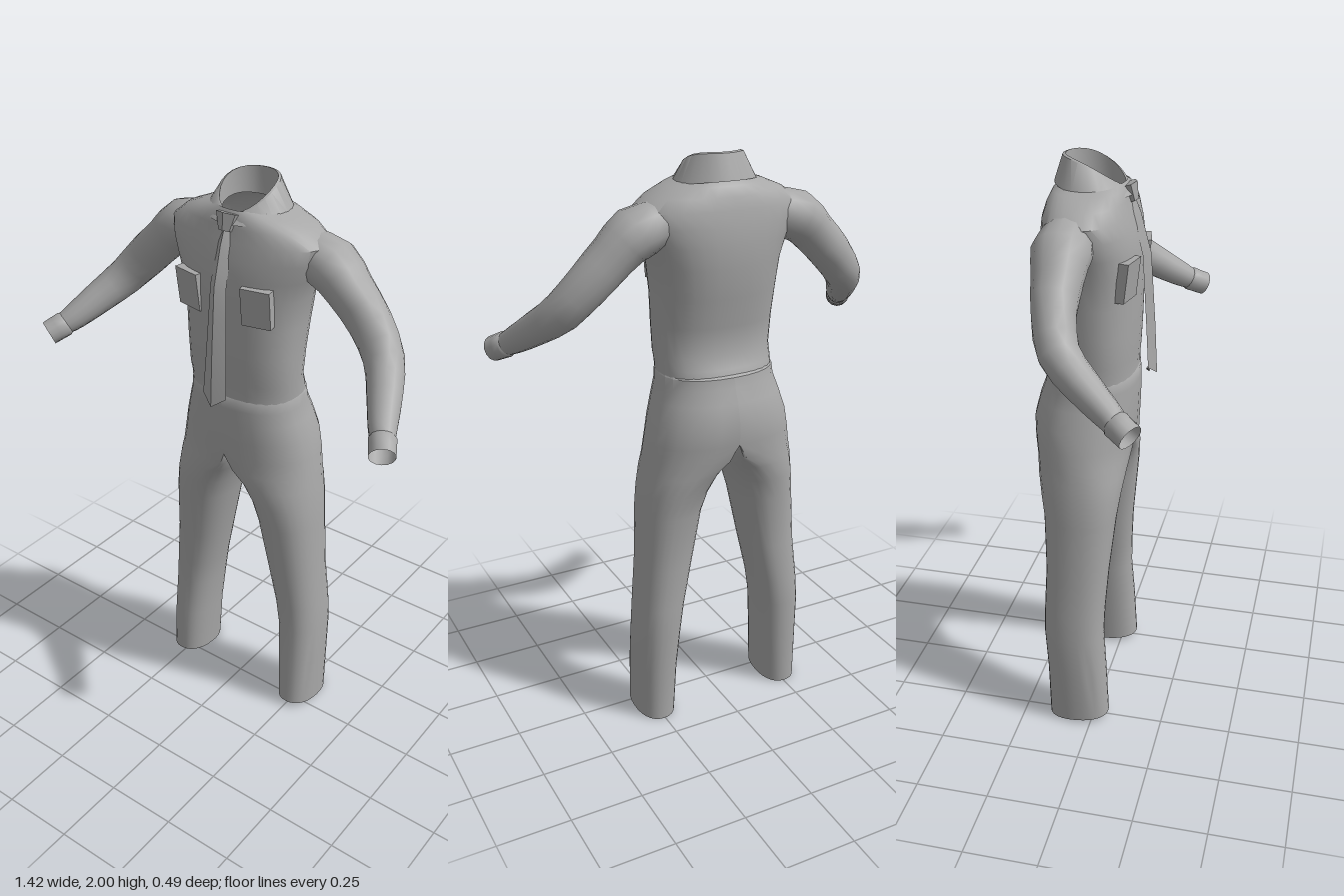
import * as THREE from 'three';
import { mergeVertices, toCreasedNormals } from 'three/addons/utils/BufferGeometryUtils.js';

const V = (x, y, z) => new THREE.Vector3(x, y, z);
const spow = (c, e) => Math.sign(c) * Math.pow(Math.abs(c), e);

// Skin a list of cross-sections (arrays of Vector3) into one surface.
function loft(rings, closed = true, crease = 0.7) {
  const n = rings[0].length, pos = [], idx = [];
  rings.forEach(r => r.forEach(p => pos.push(p.x, p.y, p.z)));
  for (let j = 0; j < rings.length - 1; j++) {
    for (let i = 0; i < (closed ? n : n - 1); i++) {
      const k = (i + 1) % n, a = j * n + i, b = j * n + k;
      idx.push(a, b + n, b, a, a + n, b + n);
    }
  }
  const g = new THREE.BufferGeometry();
  g.setAttribute('position', new THREE.Float32BufferAttribute(pos, 3));
  g.setIndex(idx);
  return toCreasedNormals(mergeVertices(g), crease);
}

// Linear lookup in rows whose first value falls from row to row.
function sample(rows, y) {
  let i = 0;
  while (i < rows.length - 2 && y < rows[i + 1][0]) i++;
  const a = rows[i], b = rows[i + 1], t = (a[0] - y) / (a[0] - b[0]);
  return a.map((v, k) => v + (b[k] - v) * t);
}

export function createModel() {
  const model = new THREE.Group();
  model.name = 'workSuit';
  const cloth = new THREE.MeshStandardMaterial({ color: 0xa8a8a8, side: THREE.DoubleSide });
  cloth.name = 'greyCloth';
  const add = (name, geo) => {
    const m = new THREE.Mesh(geo, cloth);
    m.name = name;
    model.add(m);
    return m;
  };

  // Shirt body: y, half width, front z, back z
  const body = [
    [1.275, 0.2, 0.098, -0.198], [1.31, 0.2, 0.097, -0.187], [1.35, 0.203, 0.1, -0.166],
    [1.45, 0.208, 0.105, -0.176], [1.55, 0.213, 0.108, -0.197], [1.65, 0.225, 0.11, -0.208],
    [1.72, 0.25, 0.106, -0.21], [1.78, 0.275, 0.096, -0.204], [1.83, 0.283, 0.082, -0.195],
    [1.87, 0.235, 0.072, -0.185], [1.9, 0.165, 0.066, -0.172], [1.92, 0.1, 0.055, -0.145],
  ];
  add('shirtBody', loft(body.map(([y, w, f, b]) => {
    const ring = [];
    for (let i = 0; i < 32; i++) {
      const t = i / 32 * Math.PI * 2, e = 2 / 2.35;
      ring.push(V(w * spow(Math.cos(t), e), y, (f + b) / 2 + (f - b) / 2 * spow(Math.sin(t), e)));
    }
    return ring;
  })));

  // Sleeves and cuffs: x, y, z, radius across, radius along depth
  const arm = [
    [0.19, 1.79, -0.08, 0.075, 0.08], [0.29, 1.765, -0.08, 0.085, 0.095],
    [0.36, 1.705, -0.075, 0.075, 0.08], [0.445, 1.62, -0.065, 0.072, 0.068],
    [0.52, 1.535, -0.03, 0.065, 0.064], [0.575, 1.47, 0.05, 0.056, 0.056],
    [0.62, 1.415, 0.13, 0.046, 0.046], [0.642, 1.392, 0.165, 0.039, 0.039],
  ];
  const cuff = [
    [0.638, 1.396, 0.158, 0.038, 0.038], [0.643, 1.391, 0.167, 0.044, 0.044],
    [0.672, 1.366, 0.215, 0.042, 0.042],
  ];
  const limb = (rows, side) => {
    const curve = new THREE.CatmullRomCurve3(rows.map(r => V(r[0], r[1], r[2])));
    const steps = (rows.length - 1) * 2, rings = [];
    for (let j = 0; j <= steps; j++) {
      const u = j / steps, k = Math.min(Math.floor(j / 2), rows.length - 2), f = j / 2 - k;
      const c = curve.getPoint(u), t = curve.getTangent(u);
      const across = V(0, 1, 0).cross(t).normalize(), up = t.clone().cross(across);
      const ru = rows[k][3] * (1 - f) + rows[k + 1][3] * f;
      const ra = rows[k][4] * (1 - f) + rows[k + 1][4] * f;
      rings.push(Array.from({ length: 14 }, (_, i) => {
        const a = i / 14 * Math.PI * 2;
        const p = c.clone().addScaledVector(up, ru * Math.cos(a)).addScaledVector(across, ra * Math.sin(a));
        p.x *= side;
        return p;
      }));
    }
    return loft(rings, true, 0.8);
  };

  // Trouser halves: y, inner x, outer x, front z, back z, hip share (1 = joined at the middle)
  const leg = [
    [1.3, 0, 0.192, 0.09, -0.18, 1], [1.285, 0, 0.203, 0.102, -0.203, 1],
    [1.25, 0, 0.206, 0.103, -0.21, 1], [1.2, 0, 0.222, 0.103, -0.228, 1],
    [1.13, 0, 0.243, 0.1, -0.246, 1], [1.06, 0, 0.257, 0.096, -0.243, 1],
    [1, 0.01, 0.266, 0.089, -0.23, 0.75], [0.95, 0.035, 0.274, 0.084, -0.217, 0.35],
    [0.88, 0.055, 0.283, 0.075, -0.2, 0.1], [0.8, 0.072, 0.29, 0.065, -0.184, 0],
    [0.6, 0.112, 0.301, 0.045, -0.175, 0], [0.45, 0.145, 0.315, 0.036, -0.178, 0],
    [0.35, 0.16, 0.322, 0.034, -0.178, 0], [0.2, 0.173, 0.325, 0.045, -0.166, 0],
    [0.01, 0.184, 0.324, 0.055, -0.16, 0],
  ];
  const trouser = side => loft(leg.map(([y, xi, xo, f, b, hip]) => {
    const ring = [];
    for (let i = 0; i < 28; i++) {
      const t = i / 28 * Math.PI * 2, c = spow(Math.cos(t), 0.88), s = spow(Math.sin(t), 0.88);
      const x = hip * xo * Math.max(0, c) + (1 - hip) * ((xi + xo) / 2 + (xo - xi) / 2 * c);
      const slant = y < 0.1 ? 0.01 * s : 0;
      ring.push(V(side * x, y + slant, (f + b) / 2 + (f - b) / 2 * s));
    }
    return ring;
  }));

  // Chest pocket: a shallow box whose lower edge sinks into the shirt
  const pocket = side => {
    const g = new THREE.BoxGeometry(0.1, 0.13, 0.045), p = g.attributes.position;
    for (let i = 0; i < p.count; i++) if (p.getY(i) < 0) p.setZ(i, p.getZ(i) - 0.016);
    g.rotateY(side * 0.2);
    g.translate(side * 0.13, 1.64, 0.09);
    g.computeVertexNormals();
    return g;
  };

  for (const [side, label] of [[1, 'left'], [-1, 'right']]) {
    add(label + 'Sleeve', limb(arm, side));
    add(label + 'Cuff', limb(cuff, side));
    add(label + 'TrouserLeg', trouser(side));
    add(label + 'ChestPocket', pocket(side));
  }

  // Collar: inner stand, rolled top and folded outer flap, open at the front
  const collarRow = (rx, f, b, yAt) => Array.from({ length: 25 }, (_, i) => {
    const a = 0.2 + i / 24 * (Math.PI * 2 - 0.4), front = (1 + Math.cos(a)) / 2;
    return V(rx * Math.sin(a), yAt(front), (f + b) / 2 + (f - b) / 2 * Math.cos(a));
  });
  const top = q => 2 - 0.09 * q * q;
  add('collar', loft([
    collarRow(0.085, 0.05, -0.135, q => top(q) - 0.09 + 0.04 * q),
    collarRow(0.088, 0.052, -0.138, top),
    collarRow(0.096, 0.06, -0.148, q => top(q) - 0.003),
    collarRow(0.142, 0.082, -0.174, q => 1.916 - 0.035 * q),
  ], false));

  // Necktie with a raised middle ridge: y, half width, ridge z
  const tie = [
    [1.89, 0.018, 0.075], [1.82, 0.026, 0.103], [1.69, 0.031, 0.138],
    [1.45, 0.04, 0.155], [1.31, 0.047, 0.164],
  ];
  const tieRing = ([y, w, z], drop = 0) =>
    [V(-w, y, z - 0.022), V(0, y - drop, z), V(w, y, z - 0.022), V(0, y - drop, z - 0.026)];
  const tieRows = [1.89, 1.82, 1.75, 1.69, 1.57, 1.45].map(y => tieRing(sample(tie, y)));
  tieRows.push(tieRing(tie[4], 0.033), tieRing([1.29, 0.002, 0.152], 0.005));
  add('necktie', loft(tieRows, true, 0.3));

  // Tie knot
  const knot = add('tieKnot', new THREE.CylinderGeometry(0.042, 0.024, 0.055, 6).toNonIndexed());
  knot.geometry.computeVertexNormals();
  knot.scale.z = 0.7;
  knot.position.set(0, 1.885, 0.07);
  knot.rotation.x = -0.3;

  return model;
}
